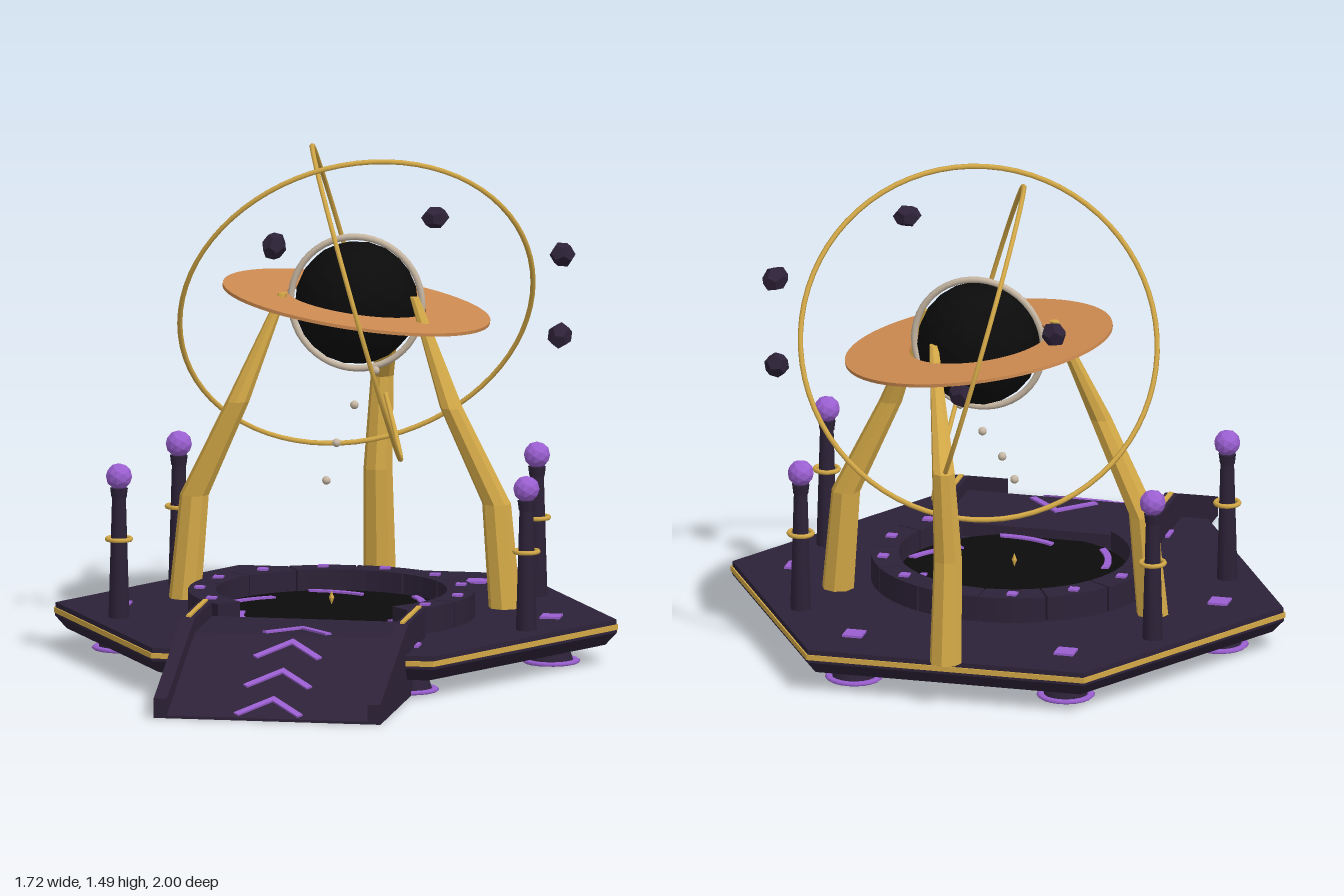
import * as THREE from 'three';

const mat = (name, color) => {
  const m = new THREE.MeshStandardMaterial({ color });
  m.name = name;
  return m;
};

export function createModel() {
  const stone = mat('dark violet stone', 0x2d2238);
  const gold = mat('gold', 0xd4a947);
  const violet = mat('glowing violet', 0x9a5fd0);
  const black = mat('void black', 0x0b0b0b);
  const copper = mat('copper', 0xcd8a50);
  const silver = mat('pale silver', 0xc8b8a4);

  const root = new THREE.Group();
  root.name = 'observatory';
  const add = (name, geo, m, x = 0, y = 0, z = 0, parent = root) => {
    const mesh = new THREE.Mesh(geo, m);
    mesh.name = name;
    mesh.position.set(x, y, z);
    parent.add(mesh);
    return mesh;
  };
  const flat = (g) => {
    const f = g.index ? g.toNonIndexed() : g;
    f.computeVertexNormals();
    return f;
  };
  const V = (x, y, z) => new THREE.Vector3(x, y, z);

  // Hexagonal platform with corners on the x axis
  const baseZ = -0.165;
  const hex = (rTop, rBottom, h) => flat(new THREE.CylinderGeometry(rTop, rBottom, h, 6).rotateY(Math.PI / 2));
  add('platformTop', hex(0.853, 0.855, 0.04), stone, 0, 0.117, baseZ);
  add('platformUnderside', hex(0.855, 0.82, 0.038), stone, 0, 0.078, baseZ);
  add('platformGoldBand', hex(0.859, 0.859, 0.016), gold, 0, 0.114, baseZ);

  // Six feet with violet rings, and a violet tile above each
  for (let i = 0; i < 6; i++) {
    const a = (i * Math.PI) / 3;
    const x = 0.655 * Math.cos(a), z = baseZ + 0.655 * Math.sin(a);
    add('foot', new THREE.CylinderGeometry(0.05, 0.07, 0.06, 12), stone, x, 0.032, z);
    const ring = new THREE.TorusGeometry(0.075, 0.013, 6, 20).rotateX(Math.PI / 2).scale(1, 0.5, 1);
    add('footRing', ring, violet, x, 0.0065, z);
    add('platformTile', new THREE.BoxGeometry(0.06, 0.008, 0.06), violet, x, 0.14, z);
  }

  // Ramp: profiles are drawn as (z, y) and extruded along x
  const slab = (points, x0, x1) => {
    const shape = new THREE.Shape(points.map((p) => new THREE.Vector2(...p)));
    return new THREE.ExtrudeGeometry(shape, { depth: x1 - x0, bevelEnabled: false })
      .rotateY(-Math.PI / 2).translate(x1, 0, 0);
  };
  add('rampFloor', slab([[0.235, 0], [1, 0], [1, 0.008], [0.53, 0.18], [0.235, 0.18]], -0.306, 0.306), stone);
  for (const s of [-1, 1]) {
    const wall = slab([[0.235, 0], [1, 0], [1, 0.06], [0.53, 0.225], [0.235, 0.225]], -0.02, 0.02);
    add('rampWall', wall, stone, s * 0.325);
    add('rampRail', new THREE.BoxGeometry(0.014, 0.008, 0.29), gold, s * 0.325, 0.227, 0.378);
  }
  // Chevrons pointing up the ramp
  const tilt = Math.atan2(0.172, 0.47);
  [0.39, 0.555, 0.72, 0.88].forEach((z, i) => {
    const v = [[0, 0], [0.105, 0.105], [0.09, 0.118], [0, 0.028], [-0.09, 0.118], [-0.105, 0.105]];
    const shape = new THREE.Shape(v.map(([x, y]) => new THREE.Vector2(x, -y)));
    const geo = new THREE.ExtrudeGeometry(shape, { depth: 0.006, bevelEnabled: false }).rotateX(-Math.PI / 2);
    const y = i ? 0.18 - (z - 0.53) * Math.tan(tilt) : 0.18;
    add('rampChevron', geo, violet, 0, y, z).rotation.x = i ? tilt : 0;
  });

  // Dark pool with a kerb of blocks, open at the ramp
  const poolZ = -0.09;
  add('pool', new THREE.CylinderGeometry(0.35, 0.35, 0.02, 40), black, 0, 0.142, poolZ);
  const step = (Math.PI * 2) / 13;
  for (let k = 2; k <= 11; k++) {
    const a = Math.PI / 2 + k * step, h = step * 0.485;
    const s = new THREE.Shape();
    s.absarc(0, 0, 0.43, -h, h, false);
    s.absarc(0, 0, 0.347, h, -h, true);
    const geo = new THREE.ExtrudeGeometry(s, { depth: 0.08, bevelEnabled: false, curveSegments: 2 }).rotateX(-Math.PI / 2);
    add('kerbBlock', flat(geo), stone, 0, 0.135, poolZ).rotation.y = -a;
    add('kerbTile', new THREE.BoxGeometry(0.03, 0.008, 0.03), violet,
      0.395 * Math.cos(a), 0.217, poolZ + 0.395 * Math.sin(a));
  }
  // Swirl strokes, widening outwards
  for (let k = 0; k < 6; k++) {
    const outer = [], inner = [];
    for (let j = 0; j <= 6; j++) {
      const a = ((160 - 60 * k - (32 * j) / 6) * Math.PI) / 180;
      const r = 0.272 + 0.01 * j, w = 0.011;
      outer.push(new THREE.Vector2((r + w) * Math.cos(a), -(r + w) * Math.sin(a)));
      inner.unshift(new THREE.Vector2((r - w) * Math.cos(a), -(r - w) * Math.sin(a)));
    }
    const geo = new THREE.ExtrudeGeometry(new THREE.Shape([...outer, ...inner]), { depth: 0.006, bevelEnabled: false });
    add('poolSwirl', geo.rotateX(-Math.PI / 2), violet, 0, 0.152, poolZ);
  }
  add('poolSpark', new THREE.OctahedronGeometry(0.012).scale(0.7, 1.8, 0.7), gold, 0, 0.19, poolZ);

  // Lamp posts
  for (const s of [-1, 1]) {
    for (const [x, z] of [[0.62, 0.06], [0.545, -0.535]]) {
      const lamp = new THREE.Group();
      lamp.name = 'lampPost';
      lamp.position.set(s * x, 0.135, z);
      root.add(lamp);
      add('lampShaft', new THREE.CylinderGeometry(0.021, 0.032, 0.37, 8), stone, 0, 0.185, 0, lamp);
      add('lampCollar', new THREE.CylinderGeometry(0.027, 0.023, 0.03, 8), stone, 0, 0.38, 0, lamp);
      add('lampRing', new THREE.TorusGeometry(0.036, 0.007, 6, 20).rotateX(Math.PI / 2), gold, 0, 0.24, 0, lamp);
      add('lampGem', flat(new THREE.IcosahedronGeometry(0.04, 1)), violet, 0, 0.43, 0, lamp);
    }
  }

  // Gold arms: a cylinder whose rows follow a bent, tapering path
  const arm = (points, radii) => {
    const n = points.length - 1;
    const geo = new THREE.CylinderGeometry(1, 1, 1, 8, n);
    const p = geo.attributes.position;
    for (let i = 0; i < p.count; i++) {
      const row = Math.round((p.getY(i) + 0.5) * n);
      const c = points[row], r = radii[row];
      p.setXYZ(i, c.x + p.getX(i) * r, c.y, c.z + p.getZ(i) * r);
    }
    return flat(geo);
  };
  const radii = [0.049, 0.044, 0.035, 0.014];
  for (const s of [-1, 1]) {
    add('frontArm', arm([V(s * 0.487, 0.135, -0.315), V(s * 0.46, 0.45, -0.325),
      V(s * 0.325, 0.74, -0.31), V(s * 0.2, 1.06, -0.38)], radii), gold);
  }
  add('backArm', arm([V(0, 0.135, -0.903), V(0, 0.45, -0.875), V(0.01, 0.73, -0.89), V(0.1, 1.05, -0.66)], radii), gold);

  // Black globe with its rings
  const globe = new THREE.Group();
  globe.name = 'globe';
  globe.position.set(0, 1.015, -0.51);
  root.add(globe);
  add('globeCore', flat(new THREE.IcosahedronGeometry(0.185, 3)), black, 0, 0, 0, globe);
  add('silverRing', new THREE.TorusGeometry(0.2, 0.01, 8, 48), silver, 0, 0, 0, globe);

  const disc = new THREE.Shape();
  disc.absarc(0, 0, 0.405, 0, Math.PI * 2, false);
  const hole = new THREE.Path();
  hole.absarc(0, 0, 0.21, 0, Math.PI * 2, true);
  disc.holes.push(hole);
  const discGeo = new THREE.ExtrudeGeometry(disc, { depth: 0.01, bevelEnabled: false, curveSegments: 32 })
    .translate(0, 0, -0.005).rotateX(-Math.PI / 2);
  add('copperDisc', discGeo, copper, 0, 0, 0, globe).rotation.z = -0.145;

  const orbit = (name, r, normal) => {
    const mesh = add(name, new THREE.TorusGeometry(r, 0.008, 6, 72), gold, 0, 0, 0, globe);
    mesh.quaternion.setFromUnitVectors(V(0, 0, 1), normal.normalize());
  };
  orbit('wideOrbitRing', 0.538, V(0.33, -0.48, 0.81));
  orbit('uprightOrbitRing', 0.488, V(0.94, 0.27, -0.19));

  // Floating rocks
  const rocks = [[0.28, 1.32, -0.288], [-0.29, 1.14, -0.73], [0.622, 1.175, -0.54], [0.605, 0.92, -0.59], [0, 0.925, -0.73]];
  rocks.forEach(([x, y, z], i) => {
    const rock = add('floatingRock', new THREE.DodecahedronGeometry(0.038).scale(1.15, 0.9, 1), stone, x, y, z);
    rock.rotation.set(i * 0.7, i * 1.3, i * 0.4);
  });

  // Beads rising from the pool to the globe
  for (const [x, y, z] of [[0.06, 0.812, -0.5], [0.005, 0.715, -0.447], [-0.035, 0.612, -0.367], [-0.05, 0.512, -0.28]]) {
    add('risingBead', new THREE.SphereGeometry(0.013, 10, 8), silver, x, y, z);
  }
  return root;
}
